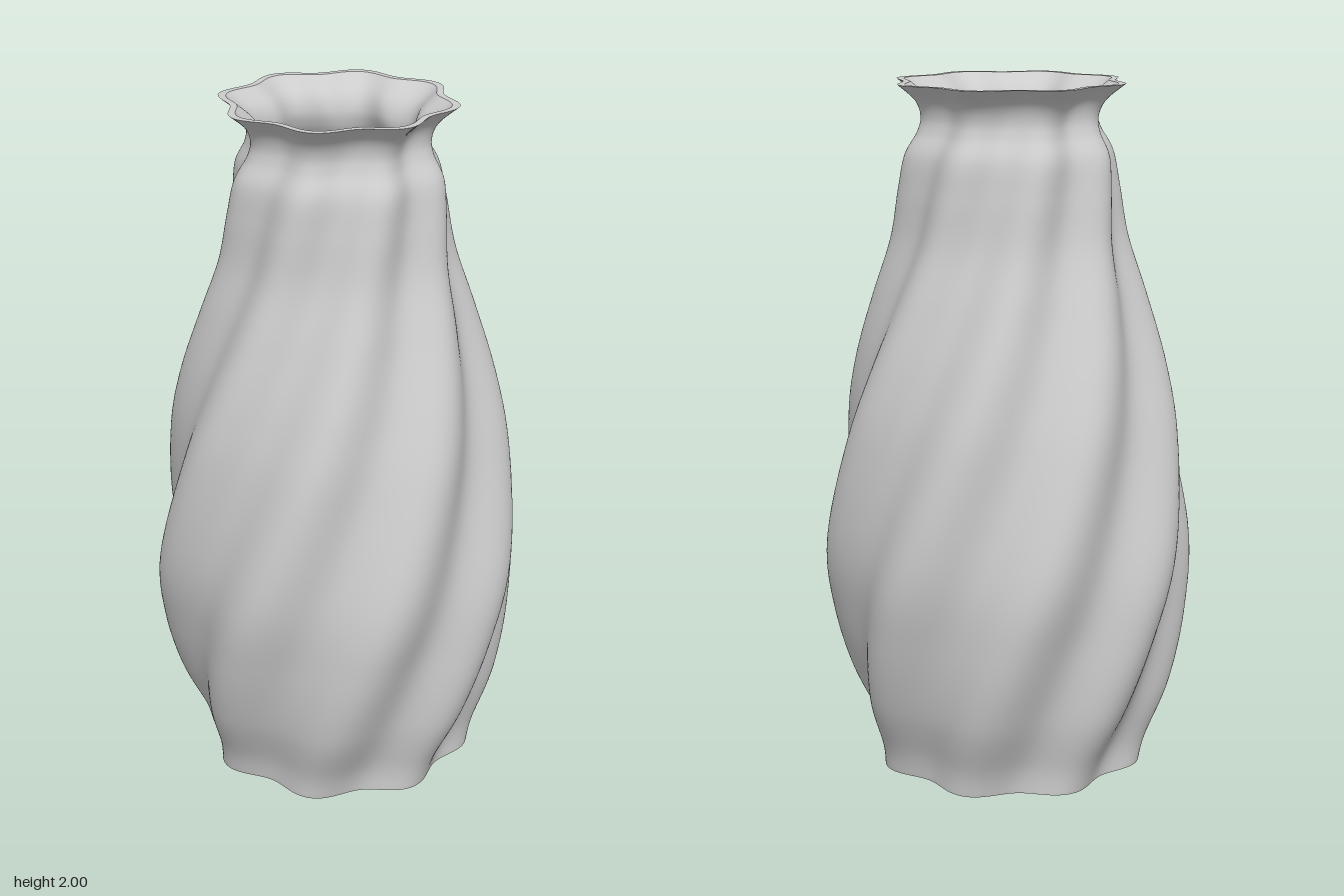
import * as THREE from 'three';

const LOBES = 8;
const RIPPLE = 0.06;        // lobe height relative to the radius
const TWIST = Math.PI / 2;  // total twist over the full height
const RIM_PHASE = THREE.MathUtils.degToRad(6.5);
const WALL = 0.021;
const FLOOR_Y = 0.04;
const SEGMENTS = 192;

// Mean radius and height, from the foot to the lip
const PROFILE = [
  [0.378, 0], [0.394, 0.08], [0.452, 0.24], [0.494, 0.45], [0.512, 0.68],
  [0.474, 1.0], [0.43, 1.2], [0.37, 1.4], [0.322, 1.56], [0.303, 1.7],
  [0.288, 1.8], [0.256, 1.865], [0.248, 1.91], [0.266, 1.955], [0.317, 2],
];

// Skin a path of [radius, height] rings with twisted, lobed cross-sections
function lobedSurface(path) {
  const positions = [], index = [];
  path.forEach(([radius, y], i) => {
    const phase = RIM_PHASE + TWIST * (1 - y / 2);
    for (let j = 0; j < SEGMENTS; j++) {
      const angle = (j / SEGMENTS) * Math.PI * 2;
      const r = radius * (1 + RIPPLE * Math.cos(LOBES * (angle - phase)));
      positions.push(r * Math.cos(angle), y, r * Math.sin(angle));
      if (i === path.length - 1) continue;
      const next = (j + 1) % SEGMENTS;
      const a = i * SEGMENTS + j, b = i * SEGMENTS + next;
      const c = a + SEGMENTS, d = b + SEGMENTS;
      if (radius > 0) index.push(a, c, b);
      if (path[i + 1][0] > 0) index.push(b, c, d);
    }
  });
  const geometry = new THREE.BufferGeometry();
  geometry.setAttribute('position', new THREE.Float32BufferAttribute(positions, 3));
  geometry.setIndex(index);
  geometry.computeVertexNormals();
  return geometry;
}

export function createModel() {
  const group = new THREE.Group();
  group.name = 'twistedVase';

  const ceramic = new THREE.MeshStandardMaterial({ color: 0xcccccc });
  ceramic.name = 'greyCeramic';

  const curve = new THREE.SplineCurve(PROFILE.map(([r, y]) => new THREE.Vector2(r, y)));
  const outer = curve.getPoints(112).map((p) => [p.x, p.y]);
  const inner = outer
    .filter(([, y]) => y > FLOOR_Y)
    .map(([r, y]) => [r - WALL, y])
    .reverse();

  const foot = outer[0];
  const lip = outer[outer.length - 1];
  const floor = inner[inner.length - 1];

  const parts = {
    outerWall: outer,
    rim: [lip, inner[0]],
    innerWall: inner,
    innerFloor: [floor, [0, floor[1]]],
    base: [[0, foot[1]], foot],
  };
  for (const [name, path] of Object.entries(parts)) {
    const mesh = new THREE.Mesh(lobedSurface(path), ceramic);
    mesh.name = name;
    group.add(mesh);
  }
  return group;
}
